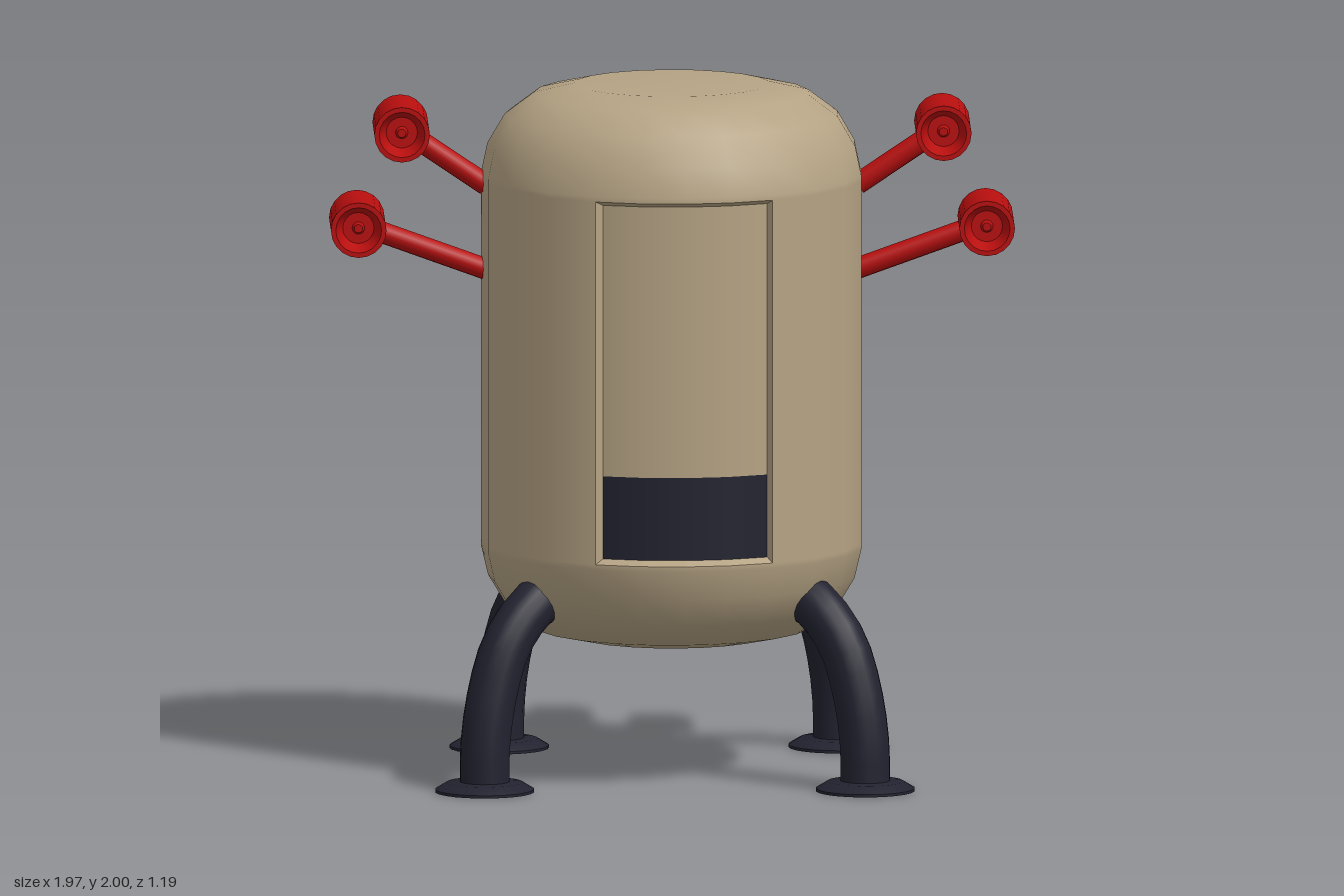
import * as THREE from 'three';
import { toCreasedNormals } from 'three/addons/utils/BufferGeometryUtils.js';

const V2 = (list) => list.map(([x, y]) => new THREE.Vector2(x, y));
const V3 = (x, y, z) => new THREE.Vector3(x, y, z);

// Hull dimensions: doorway edges are angles around the hull axis, 0 at the front
const R = 0.55, AXIS_Z = 0.03;
const DOOR = { r: R, a: -0.431, b: 0.534, y0: 0.67, y1: 1.725 };
const PANEL = { r: 0.527, a: -0.408, b: 0.527, y0: 0.685, y1: 1.713 };

const lowerCurve = [[0, 0.395], [0.28, 0.395], [0.395, 0.42], [0.48, 0.487], [0.53, 0.57], [R, 0.655], [R, 0.67]];
const upperCurve = [[R, 1.725], [R, 1.74], [0.532, 1.825], [0.482, 1.91], [0.397, 1.973], [0.28, 2], [0, 2]];

// Closed loop of points around a curved rectangle, anticlockwise from the front
function curvedFrame({ r, a, b, y0, y1 }, n) {
  const at = (t, y) => {
    const p = THREE.MathUtils.lerp(a, b, t);
    return V3(r * Math.sin(p), y, r * Math.cos(p));
  };
  const loop = [];
  for (let i = 0; i <= n; i++) loop.push(at(i / n, y0));
  for (let i = n; i >= 0; i--) loop.push(at(i / n, y1));
  return loop;
}

// Sloped strip joining two loops of equal length
function joinLoops(outer, inner) {
  const pts = [];
  outer.forEach((a, i) => {
    const j = (i + 1) % outer.length;
    pts.push(a, outer[j], inner[j], a, inner[j], inner[i]);
  });
  const geo = new THREE.BufferGeometry().setFromPoints(pts);
  geo.computeVertexNormals();
  return geo;
}

export function createModel() {
  const model = new THREE.Group();
  model.name = 'landerPod';

  const material = (name, color) => {
    const m = new THREE.MeshStandardMaterial({ color });
    m.name = name;
    return m;
  };
  const tan = material('tan hull', 0xb5a384);
  const dark = material('dark navy', 0x222230);
  const red = material('red', 0xb80e0e);

  const add = (parent, name, geo, mat) => {
    const mesh = new THREE.Mesh(geo, mat);
    mesh.name = name;
    parent.add(mesh);
    return mesh;
  };

  // Hull: a lathe all round except the doorway, which is capped above and below
  const hull = new THREE.Group();
  hull.name = 'hull';
  hull.position.z = AXIS_Z;
  model.add(hull);
  const doorArc = DOOR.b - DOOR.a;
  add(hull, 'hullShell', new THREE.LatheGeometry(V2([...lowerCurve, ...upperCurve]), 18, DOOR.b, Math.PI * 2 - doorArc), tan);
  add(hull, 'hullBelowDoor', new THREE.LatheGeometry(V2(lowerCurve), 4, DOOR.a, doorArc), tan);
  add(hull, 'hullAboveDoor', new THREE.LatheGeometry(V2(upperCurve), 4, DOOR.a, doorArc), tan);

  // Recessed door with a dark lower band
  add(hull, 'doorFrame', joinLoops(curvedFrame(DOOR, 4), curvedFrame(PANEL, 4)), tan);
  const panel = (name, y0, y1, mat) => add(hull, name,
    new THREE.LatheGeometry(V2([[PANEL.r, y0], [PANEL.r, y1]]), 4, PANEL.a, PANEL.b - PANEL.a), mat);
  panel('doorPanel', 0.925, PANEL.y1, tan);
  panel('doorLowerBand', PANEL.y0, 0.925, dark);

  // Four bent legs with round feet, splayed around the hull axis
  const legPath = new THREE.CatmullRomCurve3([
    V3(0, 0.02, 0.69), V3(0, 0.13, 0.688), V3(0, 0.27, 0.665), V3(0, 0.42, 0.61), V3(0, 0.52, 0.52), V3(0, 0.555, 0.45),
  ]);
  const legGeo = new THREE.TubeGeometry(legPath, 10, 0.072, 16);
  const footGeo = toCreasedNormals(new THREE.LatheGeometry(
    V2([[0, 0], [0.143, 0], [0.143, 0.008], [0.11, 0.028], [0, 0.034]]), 24), 0.5);
  const legs = { frontLeft: 52.6, frontRight: -52.6, backLeft: 135, backRight: -135 };
  for (const [name, degrees] of Object.entries(legs)) {
    const leg = new THREE.Group();
    leg.name = name + 'Leg';
    leg.position.z = AXIS_Z;
    leg.rotation.y = THREE.MathUtils.degToRad(degrees);
    add(leg, 'legTube', legGeo, dark);
    add(leg, 'foot', footGeo, dark).position.z = 0.69;
    model.add(leg);
  }

  // Thrusters: hollow at the front, tapered at the back, two arms on each side
  const thrusterGeo = toCreasedNormals(new THREE.LatheGeometry(V2([
    [0, -0.165], [0.038, -0.165], [0.08, -0.105], [0.08, 0.165], [0.066, 0.165], [0.045, 0.115], [0.018, 0.115], [0.012, 0.13], [0, 0.13],
  ]), 20).rotateX(Math.PI / 2), 0.6);
  const arms = [
    { name: 'upper', root: [0.535, 1.705], tip: [0.78, 1.87] },
    { name: 'lower', root: [0.535, 1.46], tip: [0.905, 1.593] },
  ];
  for (const side of [1, -1]) {
    for (const { name, root, tip } of arms) {
      const group = new THREE.Group();
      group.name = name + (side > 0 ? 'Left' : 'Right') + 'Thruster';
      const from = V3(side * root[0], root[1], AXIS_Z - 0.002);
      const to = V3(side * tip[0], tip[1], AXIS_Z - 0.002);
      const dir = to.clone().sub(from);
      const length = dir.length() - 0.05;
      dir.normalize();
      const rod = add(group, 'arm', new THREE.CylinderGeometry(0.031, 0.031, length, 12), red);
      rod.position.copy(from).addScaledVector(dir, length / 2);
      rod.quaternion.setFromUnitVectors(V3(0, 1, 0), dir);
      add(group, 'thrusterBody', thrusterGeo, red).position.set(to.x, to.y, 0);
      model.add(group);
    }
  }
  return model;
}
